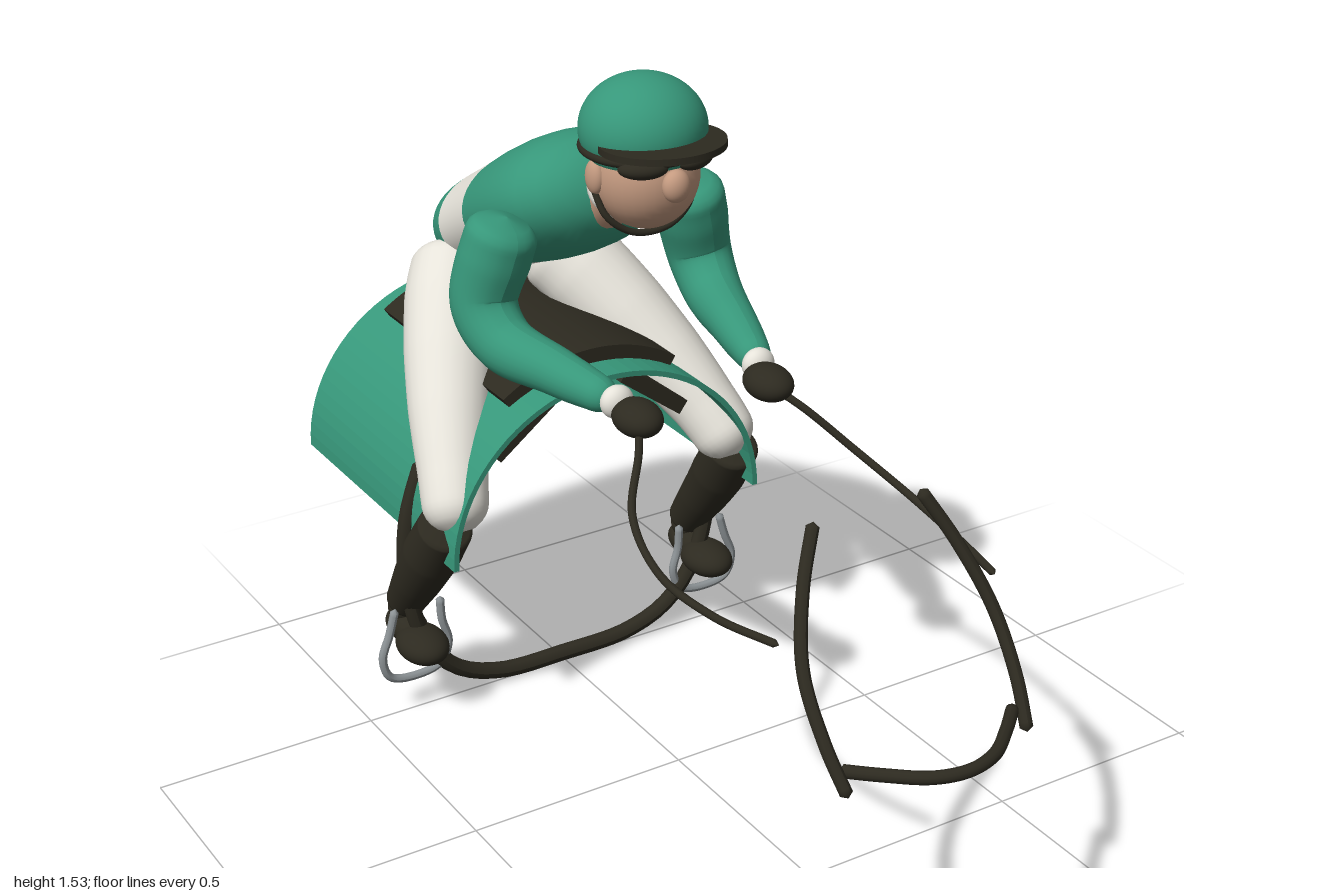
import * as THREE from 'three';

const paint = (name, color) => {
  const m = new THREE.MeshStandardMaterial({ color });
  m.name = name;
  return m;
};
const V = (p, s = 1) => new THREE.Vector3(p[0] * s, p[1], p[2]);

export function createModel() {
  const root = new THREE.Group();
  root.name = 'jockeyAndTack';
  const green = paint('silkGreen', 0x37977a);
  const white = paint('breechesWhite', 0xe6e3da);
  const dark = paint('darkLeather', 0x2d2a20);
  const skin = paint('skin', 0xc49a80);
  const steel = paint('steel', 0x8d9396);

  const add = (name, geo, mat, pos = [0, 0, 0], scale = [1, 1, 1], rot = [0, 0, 0]) => {
    const m = new THREE.Mesh(geo, mat);
    m.name = name;
    m.position.set(...pos);
    m.scale.set(...scale);
    m.rotation.set(...rot);
    root.add(m);
    return m;
  };
  const ball = (name, mat, pos, size, rot) =>
    add(name, new THREE.SphereGeometry(1, 32, 24), mat, pos, size, rot);

  // Tapered tube with rounded ends; end = share of the length used for rounding
  const limb = (name, mat, pts, radii, s = 1, end = 0.1, sides = 24) => {
    const curve = new THREE.CatmullRomCurve3(pts.map(p => V(p, s)));
    const n = 56;
    const geo = new THREE.TubeGeometry(curve, n, 1, sides, false);
    const pos = geo.attributes.position;
    const v = new THREE.Vector3();
    for (let i = 0; i <= n; i++) {
      const u = i / n, c = curve.getPointAt(u);
      const f = u * (radii.length - 1), k = Math.min(Math.floor(f), radii.length - 2);
      let r = THREE.MathUtils.lerp(radii[k], radii[k + 1], f - k);
      const d = Math.min(u, 1 - u) / end;
      if (d < 1) r *= Math.max(Math.sqrt(1 - (1 - d) ** 2), 0.001);
      for (let j = 0; j <= sides; j++) {
        const id = i * (sides + 1) + j;
        v.fromBufferAttribute(pos, id).sub(c).multiplyScalar(r).add(c);
        pos.setXYZ(id, v.x, v.y, v.z);
      }
    }
    geo.computeVertexNormals();
    return add(name, geo, mat);
  };
  const cord = (name, mat, pts, r, s = 1) => limb(name, mat, pts, [r, r], s, 0.01, 12);

  // Curved slab spanning z0..z1, arched over the horse's back
  const arch = (name, mat, rx, ry, thick, half, z0, z1) => {
    const shape = new THREE.Shape();
    const n = 40;
    for (let i = 0; i <= n; i++) {
      const a = half - (2 * half * i) / n;
      const p = [rx * Math.sin(a), ry * Math.cos(a)];
      if (i) shape.lineTo(...p); else shape.moveTo(...p);
    }
    for (let i = n; i >= 0; i--) {
      const a = half - (2 * half * i) / n;
      shape.lineTo((rx - thick) * Math.sin(a), (ry - thick) * Math.cos(a));
    }
    const geo = new THREE.ExtrudeGeometry(shape, { depth: z1 - z0, bevelEnabled: false });
    add(name, geo, mat, [0, 0.455, z0]);
  };

  // Saddle cloth and saddle
  arch('saddleCloth', green, 0.385, 0.365, 0.012, Math.PI / 2, -1, -0.28);
  arch('saddlePad', dark, 0.385, 0.398, 0.036, 0.59, -0.925, -0.355);

  // Torso: banded lathe leaning forward
  const band = (name, mat, pts) =>
    add(name, new THREE.LatheGeometry(pts.map(p => new THREE.Vector2(...p)), 48), mat,
      [0, 1.262, -0.28], [1, 1, 0.66], [-2.045, 0, 0]);
  band('torsoShoulders', green, [[0.001, -0.025], [0.06, -0.02], [0.11, -0.003], [0.15, 0.025],
    [0.18, 0.065], [0.195, 0.115], [0.199, 0.18], [0.196, 0.25], [0.188, 0.315]]);
  band('torsoSash', white, [[0.188, 0.315], [0.183, 0.37], [0.178, 0.42], [0.174, 0.475]]);
  band('torsoSeat', green, [[0.174, 0.475], [0.168, 0.52], [0.15, 0.56], [0.115, 0.59],
    [0.06, 0.607], [0.001, 0.612]]);

  // Neck and collar
  limb('neck', skin, [[0, 1.2, -0.3], [0, 1.25, -0.23], [0, 1.31, -0.16]], [0.055, 0.055]);
  add('collar', new THREE.TorusGeometry(0.042, 0.025, 14, 32), white,
    [0, 1.257, -0.23], [1, 1, 1], [-0.9, 0, 0]);

  // Head and cap
  ball('head', skin, [0, 1.33, -0.125], [0.11, 0.115, 0.112]);
  ball('nose', skin, [0, 1.335, -0.008], [0.03, 0.034, 0.024]);
  add('cap', new THREE.SphereGeometry(1, 40, 24, 0, Math.PI * 2, 0, 2.09), green,
    [0, 1.42, -0.132], [0.13, 0.11, 0.13]);
  add('capUnderside', new THREE.CircleGeometry(0.113, 40), green,
    [0, 1.366, -0.132], [1, 1, 1], [Math.PI / 2, 0, 0]);
  add('capPeak', new THREE.CylinderGeometry(1, 1, 0.014, 40), dark,
    [0, 1.408, -0.06], [0.13, 1, 0.125], [-0.04, 0, 0]);
  add('goggleStrap', new THREE.TorusGeometry(0.123, 0.009, 10, 48), dark,
    [0, 1.385, -0.132], [1, 1, 1], [Math.PI / 2, 0, 0]);
  cord('chinStrap', dark, [[-0.112, 1.32, -0.145], [-0.1, 1.26, -0.112], [-0.055, 1.222, -0.1],
    [0, 1.211, -0.097], [0.055, 1.222, -0.1], [0.1, 1.26, -0.112], [0.112, 1.32, -0.145]], 0.007);

  // Girth under the belly
  const girth = [[0.335, 0.63, -0.5], [0.385, 0.48, -0.5], [0.392, 0.32, -0.5],
    [0.355, 0.17, -0.5], [0.28, 0.075, -0.5], [0.17, 0.03, -0.5]];
  cord('girth', dark, [...girth, [0, 0.024, -0.5],
    ...girth.slice().reverse().map(p => [-p[0], p[1], p[2]])], 0.019);

  // Bridle noseband
  cord('noseband', dark, [[-0.2, 0.535, 0.86], [-0.14, 0.535, 0.915], [-0.07, 0.535, 0.968],
    [0, 0.535, 0.985], [0.07, 0.535, 0.968], [0.14, 0.535, 0.915], [0.2, 0.535, 0.86]], 0.013);

  // Parts in mirrored pairs
  for (const s of [1, -1]) {
    const side = s > 0 ? 'left' : 'right';
    const at = (x, y, z) => [x * s, y, z];

    ball(side + 'GoggleLens', dark, at(0.06, 1.374, -0.035), [0.05, 0.021, 0.03], [0, 0.45 * s, 0]);
    ball(side + 'Ear', skin, at(0.108, 1.335, -0.138), [0.018, 0.036, 0.026]);

    // Arm and hand
    limb(side + 'Sleeve', green, [[0.215, 1.215, -0.31], [0.235, 1.14, -0.325], [0.262, 1.03, -0.335],
      [0.255, 0.965, -0.27], [0.215, 0.945, -0.12], [0.172, 0.93, 0.035]],
      [0.075, 0.077, 0.07, 0.062, 0.053, 0.045, 0.033], s, 0.07);
    ball(side + 'Cuff', white, at(0.168, 0.93, 0.038), [0.036, 0.035, 0.027]);
    ball(side + 'Glove', dark, at(0.155, 0.915, 0.095), [0.048, 0.037, 0.062]);

    // Leg, boot and foot
    limb(side + 'Breeches', white, [[0.1, 0.965, -0.755], [0.16, 0.9, -0.68], [0.255, 0.75, -0.525],
      [0.325, 0.61, -0.385], [0.355, 0.525, -0.315]], [0.1, 0.105, 0.1, 0.09, 0.076, 0.068], s, 0.09);
    limb(side + 'Boot', dark, [[0.365, 0.535, -0.345], [0.372, 0.4, -0.44], [0.372, 0.245, -0.56]],
      [0.06, 0.064, 0.056, 0.044], s, 0.035);
    ball(side + 'Ankle', dark, at(0.374, 0.235, -0.56), [0.038, 0.04, 0.035]);
    ball(side + 'Sole', dark, at(0.375, 0.178, -0.475), [0.056, 0.04, 0.075]);
    ball(side + 'Heel', dark, at(0.375, 0.19, -0.55), [0.042, 0.037, 0.068]);

    // Stirrup iron
    cord(side + 'Stirrup', steel, [[0.315, 0.27, -0.5], [0.312, 0.21, -0.5], [0.298, 0.15, -0.5],
      [0.32, 0.1, -0.5], [0.385, 0.086, -0.5], [0.445, 0.1, -0.5], [0.462, 0.15, -0.5],
      [0.442, 0.21, -0.5], [0.425, 0.27, -0.5]], 0.0095, s);

    // Saddle panel under the cloth
    add(side + 'SaddlePanel', new THREE.BoxGeometry(0.19, 0.035, 0.57), dark,
      at(0.16, 0.712, -0.64), [1, 1, 1], [0, 0, -0.65 * s]);

    // Rein and bridle cheek strap
    cord(side + 'Rein', dark, [[0.155, 0.91, 0.1], [0.195, 0.875, 0.165], [0.262, 0.8, 0.25],
      [0.295, 0.75, 0.4], [0.282, 0.737, 0.57], [0.245, 0.745, 0.73]], 0.008, s);
    cord(side + 'CheekStrap', dark, [[0.12, 0.925, 0.65], [0.175, 0.82, 0.7], [0.216, 0.7, 0.765],
      [0.219, 0.59, 0.84], [0.205, 0.5, 0.9]], 0.013, s);
  }
  return root;
}
